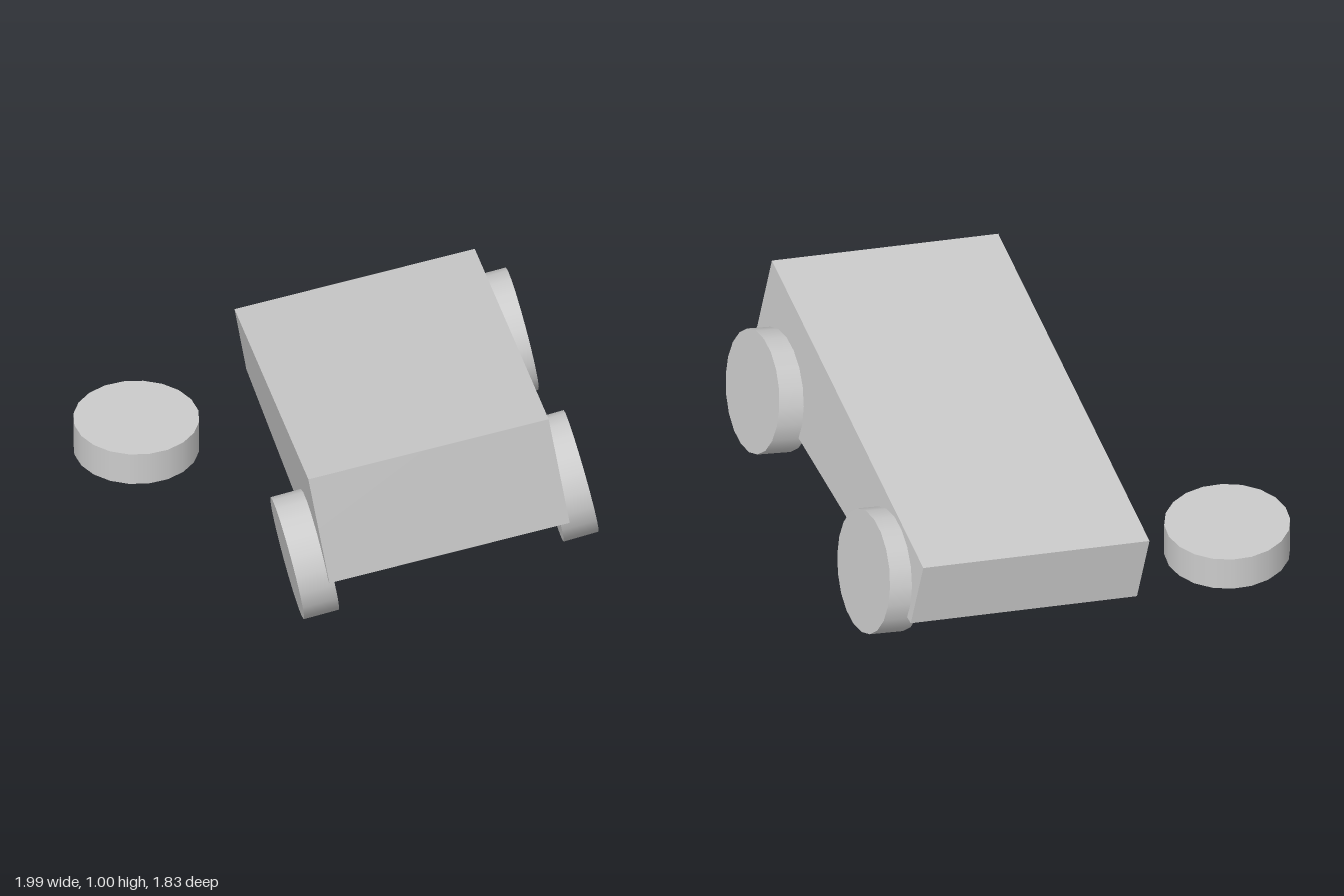
import * as THREE from 'three';

const grey = new THREE.MeshStandardMaterial({ color: 0xcccccc });

// Tilted wedge body: a box whose corners are moved to the sheared positions
function makeBody() {
  const corners = {
    // key: x side, y side, z side
    '1,1,1': [0.75, 1.01, 0.865], '-1,1,1': [-0.29, 0.85, 0.867],
    '1,-1,1': [0.832, 0.487, 0.908], '-1,-1,1': [-0.208, 0.327, 0.912],
    '1,1,-1': [0.8, 0.63, -0.918], '-1,1,-1': [-0.24, 0.47, -0.914],
    '1,-1,-1': [0.845, 0.33, -0.888], '-1,-1,-1': [-0.195, 0.17, -0.884],
  };
  const geo = new THREE.BoxGeometry(2, 2, 2);
  const pos = geo.attributes.position;
  for (let i = 0; i < pos.count; i++) {
    const key = [pos.getX(i), pos.getY(i), pos.getZ(i)].map(Math.sign).join(',');
    pos.setXYZ(i, ...corners[key]);
  }
  geo.computeVertexNormals();
  const body = new THREE.Mesh(geo, grey);
  body.name = 'body';
  return body;
}

// Wheel whose axle rises by the given angle from the x axis
function makeWheel(name, position, axleDegrees) {
  const wheel = new THREE.Mesh(new THREE.CylinderGeometry(0.268, 0.268, 0.154, 20), grey);
  wheel.name = name;
  wheel.position.set(...position);
  wheel.rotation.z = THREE.MathUtils.degToRad(axleDegrees - 90);
  return wheel;
}

export function createModel() {
  const car = new THREE.Group();
  car.name = 'brokenCart';
  car.add(
    makeBody(),
    makeWheel('frontLeftWheel', [0.865, 0.525, 0.622], 11.3),
    makeWheel('backLeftWheel', [0.861, 0.412, -0.59], 10),
    makeWheel('frontRightWheel', [-0.255, 0.284, 0.622], 10.3),
    // Detached wheel lying flat
    makeWheel('looseWheel', [-0.732, 0.128, -0.59], 90),
  );
  return car;
}
